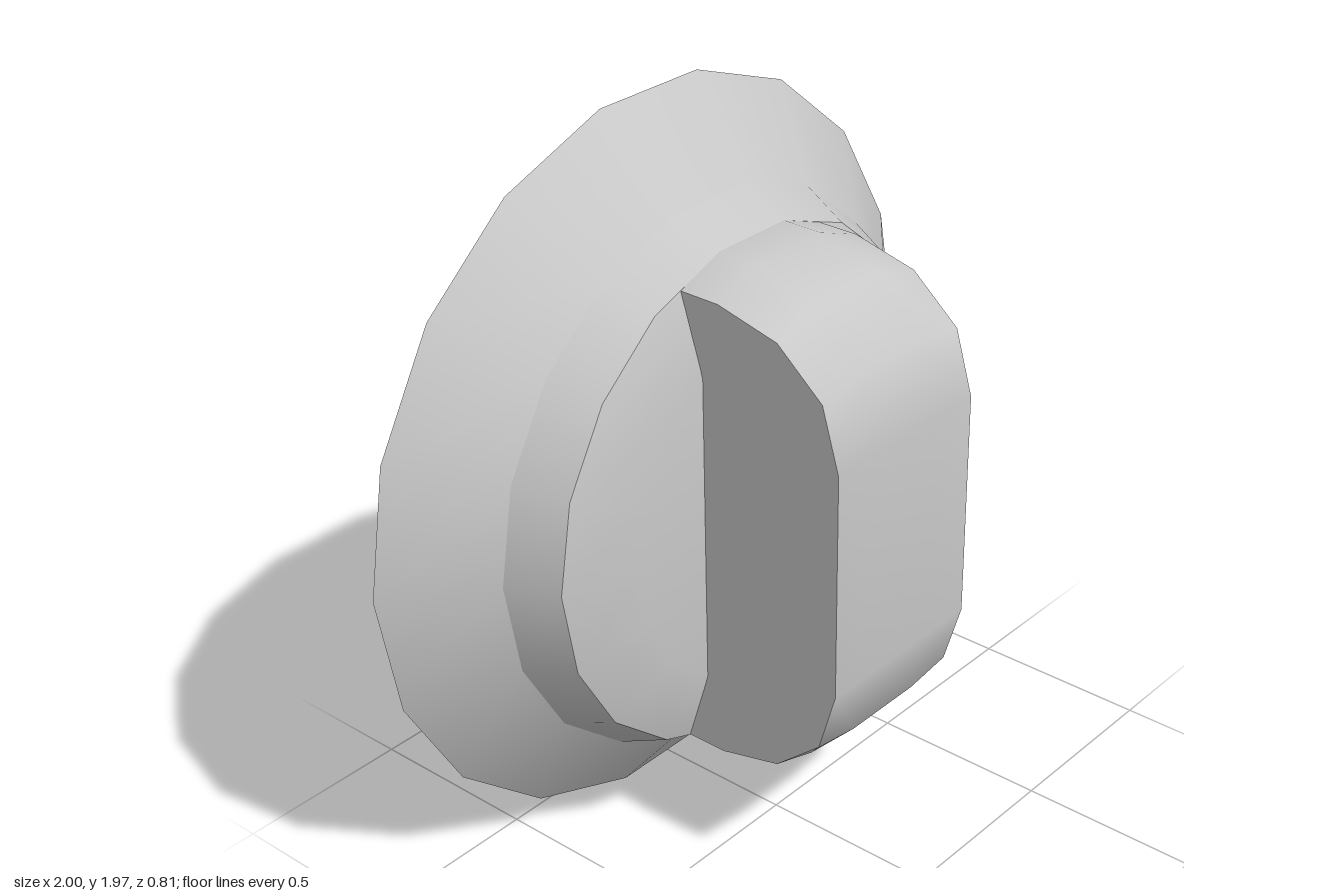
import * as THREE from 'three';

const SIDES = 18;
const CENTER_Y = 0.985;

export function createModel() {
  const model = new THREE.Group();
  const grey = new THREE.MeshStandardMaterial({ color: 0xc8c8c8 });
  grey.name = 'grey';

  const add = (name, geometry) => {
    const mesh = new THREE.Mesh(geometry, grey);
    mesh.name = name;
    mesh.position.y = CENTER_Y;
    model.add(mesh);
  };

  // Turned parts: [radius, z] profiles around the z axis, split where edges are sharp
  const turned = (name, profile) => {
    const points = profile.map(([r, z]) => new THREE.Vector2(r, z));
    add(name, new THREE.LatheGeometry(points, SIDES, Math.PI / 2).rotateX(Math.PI / 2));
  };
  turned('backPlate', [[0, -0.4], [1, -0.4]]);
  turned('flaredSkirt', [[1, -0.4], [0.76, -0.21]]);
  turned('collar', [[0.76, -0.21], [0.7, -0.075]]);
  turned('dialFace', [[0.7, -0.075], [0.5, -0.01], [0, -0.01]]);

  // Grip outline: [z, half height in the middle, half height at the sides]
  const half = [
    [-0.075, 0.69, 0.638],
    [0.04, 0.69, 0.638],
    [0.22, 0.637, 0.595],
    [0.355, 0.5, 0.48],
    [0.405, 0.31, 0.31],
  ];
  const rows = [...half, ...half.map(([z, m, s]) => [z, -m, -s]).reverse()];
  const columns = [-0.26, -0.12, 0.12, 0.26];

  // Smooth rounded band running over the grip from top to bottom
  const positions = [];
  const indices = [];
  rows.forEach(([z, middle, side], j) => {
    columns.forEach((x, i) => {
      positions.push(x, i === 0 || i === 3 ? side : middle, z);
      if (i < 3 && j < rows.length - 1) {
        const a = j * 4 + i;
        indices.push(a, a + 4, a + 5, a, a + 5, a + 1);
      }
    });
  });
  const band = new THREE.BufferGeometry();
  band.setAttribute('position', new THREE.Float32BufferAttribute(positions, 3));
  band.setIndex(indices);
  band.computeVertexNormals();
  add('gripBand', band);

  // Flat cheeks of the grip
  for (const s of [1, -1]) {
    const outline = new THREE.Shape(rows.map(([z, , y]) => new THREE.Vector2(-s * z, y)));
    const cheek = new THREE.ShapeGeometry(outline).rotateY(s * Math.PI / 2).translate(s * 0.26, 0, 0);
    add(s > 0 ? 'leftGripCheek' : 'rightGripCheek', cheek);
  }

  return model;
}
